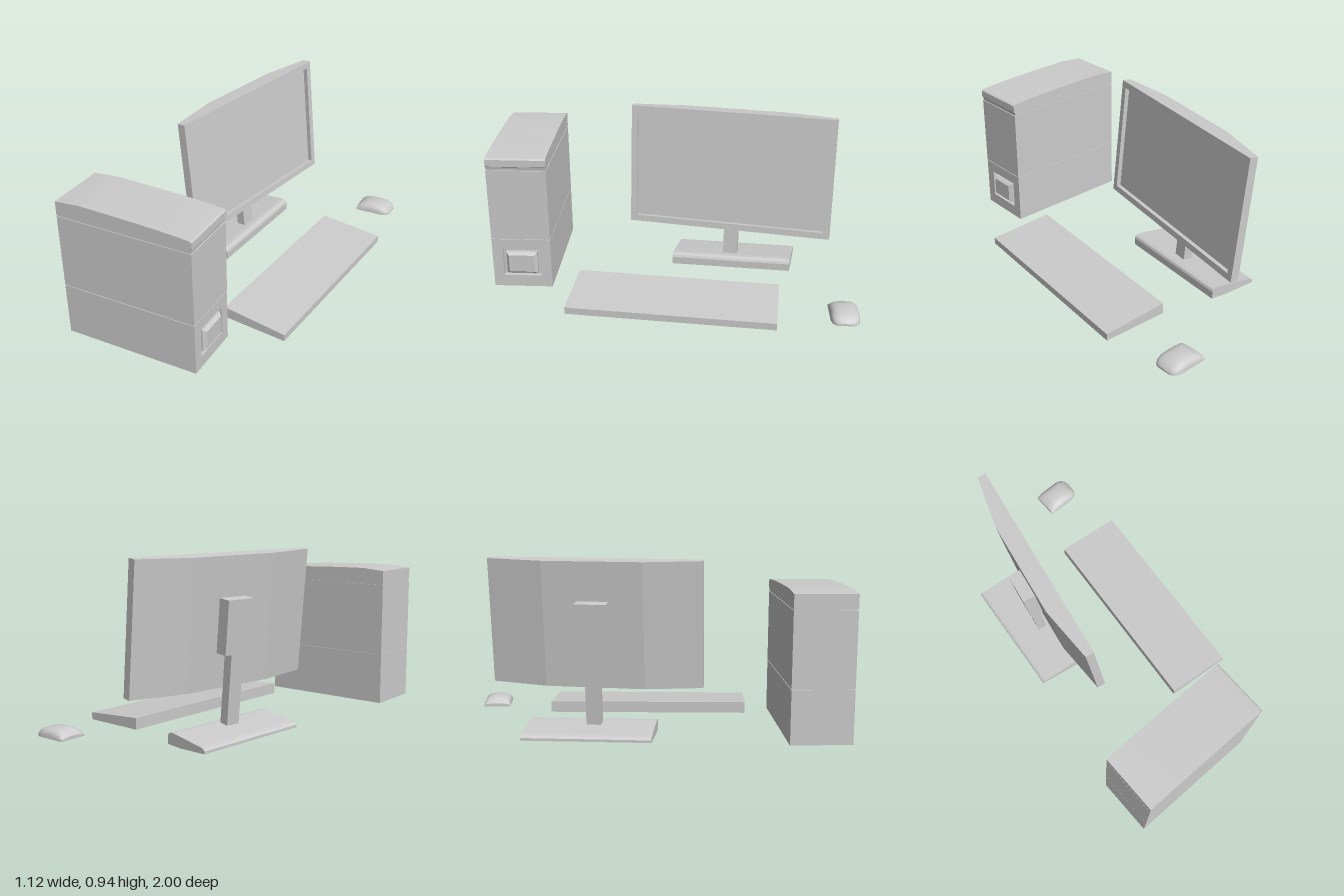
import * as THREE from 'three';
import { ConvexGeometry } from 'three/addons/geometries/ConvexGeometry.js';
import { mergeVertices, toCreasedNormals } from 'three/addons/utils/BufferGeometryUtils.js';

const material = new THREE.MeshStandardMaterial({ color: 0xcccccc });
const V = (x, y, z) => new THREE.Vector3(x, y, z);

function add(parent, name, geometry) {
  const mesh = new THREE.Mesh(geometry, material);
  mesh.name = name;
  parent.add(mesh);
  return mesh;
}

// Box given by its limits on each axis
function box(x0, x1, y0, y1, z0, z1) {
  return new THREE.BoxGeometry(x1 - x0, y1 - y0, z1 - z0)
    .translate((x0 + x1) / 2, (y0 + y1) / 2, (z0 + z1) / 2);
}

function polygon(points) {
  return new THREE.Shape(points.map(([x, y]) => new THREE.Vector2(x, y)));
}

function rect(x0, x1, y0, y1) {
  return [[x0, y0], [x1, y0], [x1, y1], [x0, y1]];
}

// Rectangular plate with a rectangular opening, facing +x, front at x = 0
function framePlate(outer, inner, depth) {
  const shape = polygon(outer);
  shape.holes.push(polygon(inner));
  return new THREE.ExtrudeGeometry(shape, { depth, bevelEnabled: false })
    .rotateY(Math.PI / 2).translate(-depth, 0, 0);
}

function createTower() {
  const tower = new THREE.Group();
  tower.name = 'tower';
  const back = -0.56, front = 0.19, z0 = 0.675, z1 = 1, mid = (z0 + z1) / 2, half = (z1 - z0) / 2;

  // Case sections, with an inset core showing in the seams
  add(tower, 'caseCore', box(back + 0.004, 0.16, 0.03, 0.75, z0 + 0.004, z1 - 0.004));
  add(tower, 'seamCore', box(0.1, front - 0.005, 0.3, 0.75, z0 + 0.004, z1 - 0.004));
  add(tower, 'lowerCase', box(back, 0.165, 0.025, 0.313, z0, z1));
  add(tower, 'upperCase', box(back, front, 0.317, 0.718, z0, z1));

  // Front panel with a recessed opening and a raised button
  add(tower, 'frontPanel', framePlate(rect(-half, half, 0.025, 0.313), rect(-0.105, 0.105, 0.092, 0.252), 0.025))
    .position.set(front, 0, mid);
  const button = [];
  for (const [x, hz, hy] of [[0.16, 0.086, 0.064], [0.188, 0.086, 0.064], [0.204, 0.07, 0.05]]) {
    for (const sz of [-1, 1]) for (const sy of [-1, 1]) button.push(V(x, 0.172 + sy * hy, mid + sz * hz));
  }
  add(tower, 'frontButton', new ConvexGeometry(button));

  // Gently curved lid
  const lid = polygon([[back, 0.724], [0.185, 0.724], [0.188, 0.738], [0.194, 0.742], [0.194, 0.78],
    [0.185, 0.787], [0.12, 0.793], [0, 0.8], [-0.2, 0.807], [-0.38, 0.811], [-0.43, 0.811], [back, 0.8]]);
  add(tower, 'lid', toCreasedNormals(
    new THREE.ExtrudeGeometry(lid, { depth: z1 - z0, bevelEnabled: false }).translate(0, 0, z0), 0.3));
  return tower;
}

// Local frame: screen faces +x, origin at the bottom centre of the front
function createMonitor() {
  const monitor = new THREE.Group();
  monitor.name = 'monitor';
  const w = 0.578, h = 0.688, depth = 0.025;
  add(monitor, 'bezel', framePlate(rect(-w, w, 0, h), rect(-0.543, 0.543, 0.036, h - 0.036), depth));
  const plan = polygon([[-depth, -w], [-depth, w], [-0.047, w], [-0.1, 0.27], [-0.1, -0.27], [-0.047, -w]]);
  add(monitor, 'screenHousing',
    new THREE.ExtrudeGeometry(plan, { depth: h, bevelEnabled: false }).rotateX(-Math.PI / 2));
  add(monitor, 'mountHead', box(-0.17, -0.09, 0.19, 0.475, -0.085, 0.085));
  add(monitor, 'neck', box(-0.165, -0.112, -0.21, 0.2, -0.04, 0.04));
  monitor.position.set(-0.106, 0.26, -0.301);
  monitor.rotation.set(0, -0.187, 0.095);
  return monitor;
}

// Wedge-shaped foot: the same profile swept between its two ends
function standBase() {
  const profile = [[0, 0.01], [0, 0.024], [0.04, 0.034], [0.12, 0.04], [0.84, 0.066], [0.92, 0.066],
    [0.98, 0.058], [1, 0.045], [1, 0.003], [0.65, 0]];
  const ends = [[V(-0.444, 0, -0.025), V(-0.165, 0, 0.02)], [V(-0.376, 0, -0.71), V(-0.1, 0, -0.665)]];
  const points = ends.flatMap(([a, b]) => profile.map(([t, y]) => a.clone().lerp(b, t).setY(y)));
  return new ConvexGeometry(points);
}

// Thin wedge, lowest along its front edge
function keyboard() {
  const corners = [[0.195, -0.588, 0.01, 0.073], [0.56, -0.558, 0.003, 0.042],
    [0.46, 0.566, 0.012, 0.05], [0.095, 0.532, 0.02, 0.083]];
  return new ConvexGeometry(corners.flatMap(([x, z, low, high]) => [V(x, low, z), V(x, high, z)]));
}

// Arched sections along x, rounding off at the front
function mouse() {
  const stations = [[0.31, 0.077, 0.018], [0.335, 0.077, 0.043], [0.37, 0.077, 0.051], [0.42, 0.077, 0.052],
    [0.465, 0.077, 0.048], [0.495, 0.07, 0.037], [0.512, 0.056, 0.023], [0.52, 0.038, 0.012]];
  const points = [];
  for (const [x, w, h] of stations) {
    for (let i = 0; i <= 12; i++) {
      const a = (i / 12) * Math.PI, c = Math.cos(a);
      const z = Math.sign(c) * Math.abs(c) ** 0.7 * w;
      points.push(V(x, 0.015 + h * Math.max(0, Math.sin(a)) ** 0.7, -0.922 + z));
    }
  }
  const geometry = new ConvexGeometry(points);
  geometry.deleteAttribute('normal');
  return toCreasedNormals(mergeVertices(geometry, 1e-5), 0.6);
}

export function createModel() {
  const model = new THREE.Group();
  model.name = 'desktopComputer';
  model.add(createTower(), createMonitor());
  add(model, 'standBase', standBase());
  add(model, 'keyboard', keyboard());
  add(model, 'mouse', mouse());
  return model;
}
